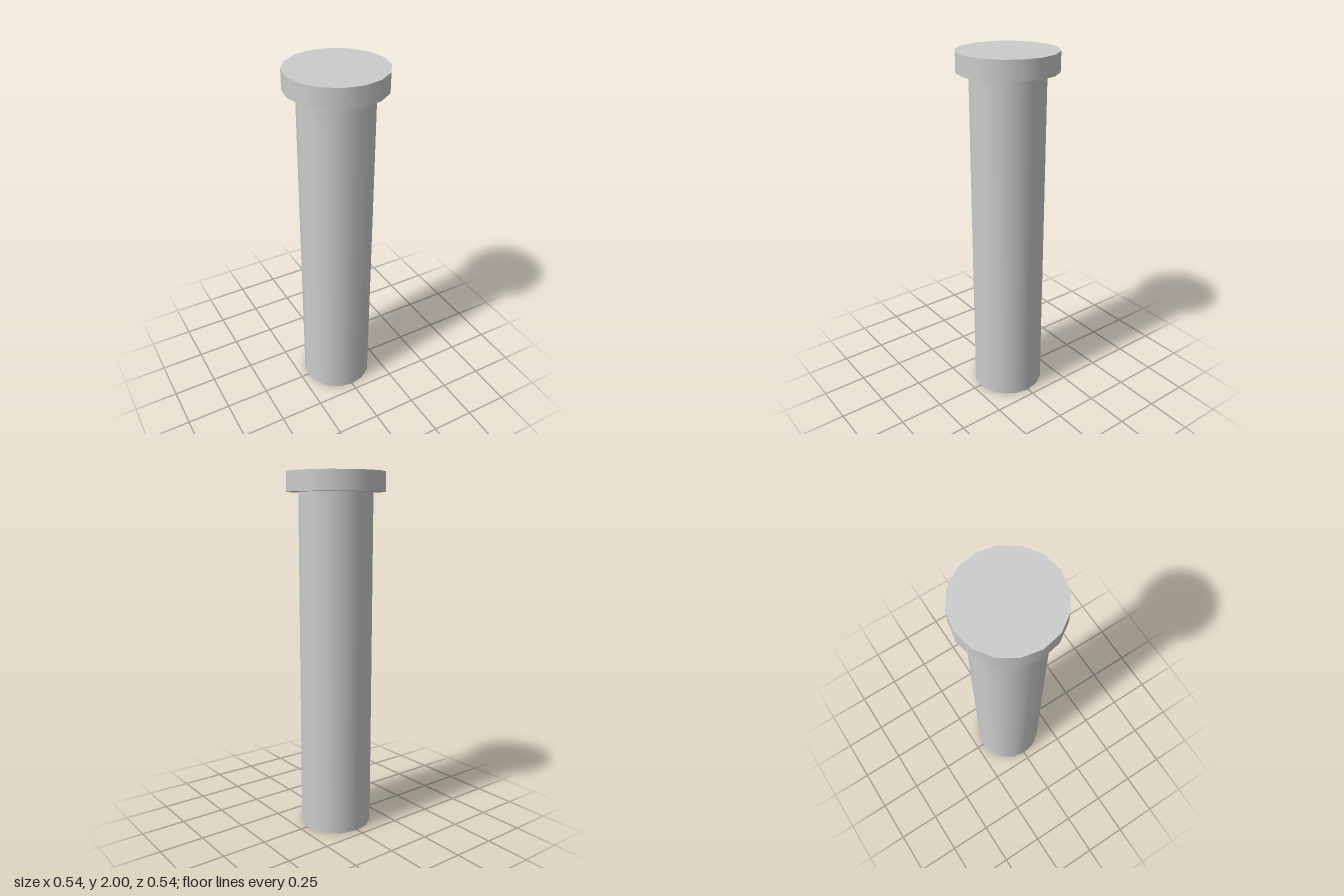
import * as THREE from 'three';

const SIDES = 16;

export function createModel() {
  const model = new THREE.Group();
  model.name = 'headedPin';
  const material = new THREE.MeshStandardMaterial({ color: 0xcccccc });

  // Closed upright cylinder between two heights
  const addCylinder = (name, radius, bottom, top) => {
    const geometry = new THREE.CylinderGeometry(radius, radius, top - bottom, SIDES);
    const mesh = new THREE.Mesh(geometry, material);
    mesh.name = name;
    mesh.position.y = (bottom + top) / 2;
    model.add(mesh);
  };

  // Long shaft, then the wider flat head on top
  addCylinder('shaft', 0.204, 0, 1.895);
  addCylinder('head', 0.27, 1.895, 2);

  return model;
}
